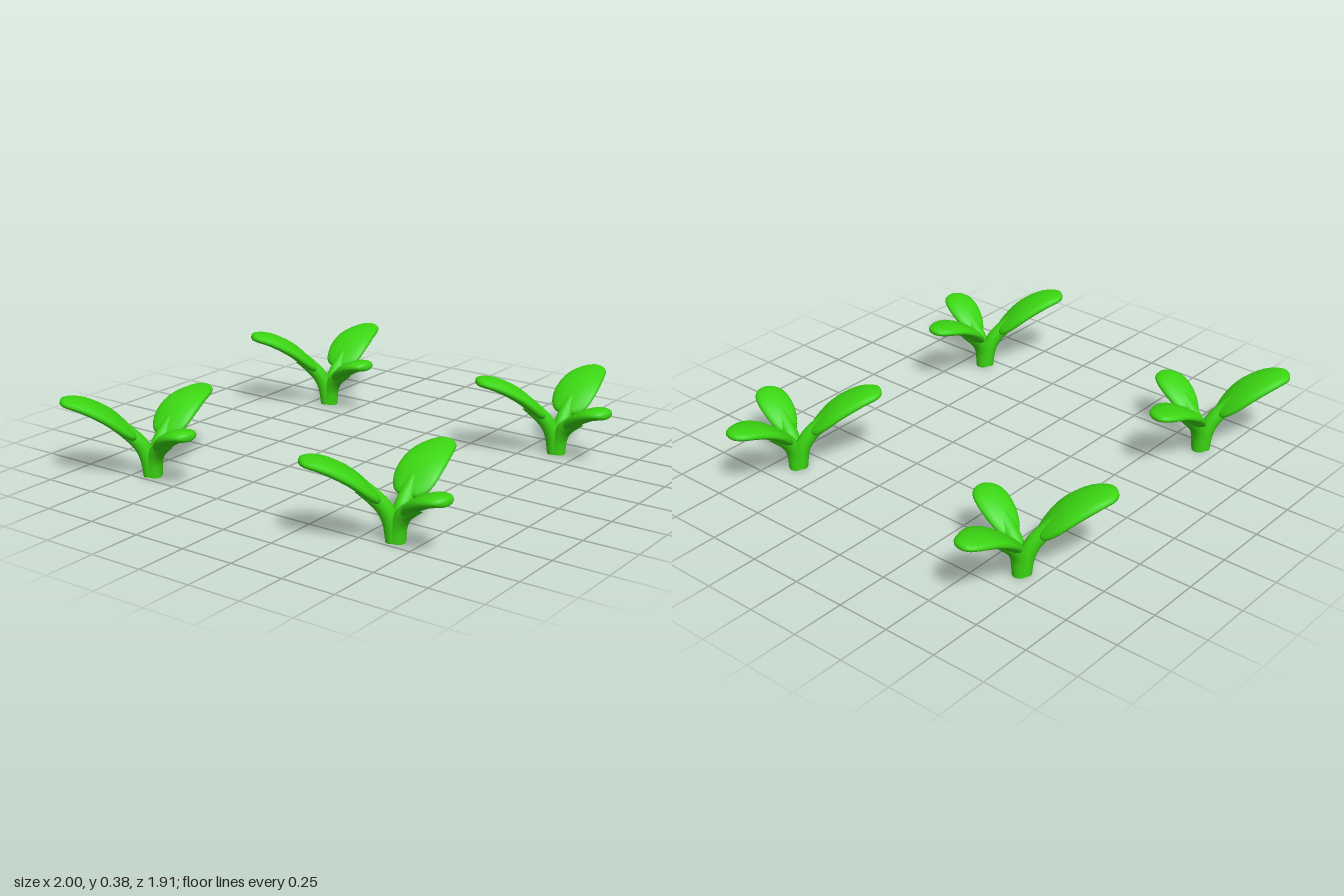
import * as THREE from 'three';

const SIDES = 16;

// Sweeps an oval section along a path in the x-y plane; t, half width and half height come from each ring's fraction.
function loft(points, rings, section) {
  const curve = new THREE.SplineCurve(points.map(([x, y]) => new THREE.Vector2(x, y)));
  const pos = [], index = [];
  for (let i = 0; i <= rings; i++) {
    const [t, halfW, halfH] = section(i / rings);
    const c = curve.getPoint(t);
    const d = curve.getTangent(t);
    for (let j = 0; j < SIDES; j++) {
      const a = (j / SIDES) * Math.PI * 2;
      const n = Math.cos(a) * halfH;
      pos.push(c.x - d.y * n, c.y + d.x * n, Math.sin(a) * halfW);
      if (i === rings) continue;
      const p = i * SIDES + j, q = i * SIDES + (j + 1) % SIDES;
      index.push(p, q, p + SIDES, q, q + SIDES, p + SIDES);
    }
  }
  const geo = new THREE.BufferGeometry();
  geo.setAttribute('position', new THREE.Float32BufferAttribute(pos, 3));
  geo.setIndex(index);
  geo.computeVertexNormals();
  return geo;
}

// Round stem, slightly thicker at its foot
const stemSection = (u) => {
  const r = 0.033 + 0.004 * (1 - u);
  return [u, r, r];
};

// Plump oval blade, closed at both ends
const bladeSection = (width, thickness) => (u) => {
  const s = u === 0 || u === 1 ? 0 : Math.sin(u * Math.PI);
  return [(1 - Math.cos(u * Math.PI)) / 2, width * s ** 0.95, thickness * s ** 0.6];
};

// Each leaf: heading about y, stem and blade paths (outward, up), blade half width
const LEAVES = [
  { name: 'sideLeaf', angle: 0, width: 0.105,
    stem: [[0.007, 0], [0.018, 0.08], [0.05, 0.14], [0.1, 0.19], [0.15, 0.235]],
    blade: [[0.07, 0.165], [0.11, 0.202], [0.17, 0.255], [0.26, 0.298], [0.38, 0.319]] },
  { name: 'backLeaf', angle: 136, width: 0.105,
    stem: [[0.007, 0], [0.02, 0.08], [0.05, 0.145], [0.1, 0.2], [0.15, 0.245]],
    blade: [[0.07, 0.175], [0.13, 0.232], [0.2, 0.29], [0.3, 0.342], [0.39, 0.362]] },
  { name: 'frontLeaf', angle: -106.6, width: 0.078,
    stem: [[0.007, 0], [0.018, 0.07], [0.05, 0.125], [0.1, 0.165], [0.15, 0.2]],
    blade: [[0.065, 0.135], [0.13, 0.19], [0.2, 0.23], [0.26, 0.25], [0.31, 0.253]] },
];

export function createModel() {
  const model = new THREE.Group();
  model.name = 'sprouts';
  const green = new THREE.MeshStandardMaterial({ color: 0x3bd612 });
  green.name = 'leaf green';

  // Three-leaved sprout
  const sprout = new THREE.Group();
  sprout.name = 'sprout';
  for (const { name, angle, width, stem, blade } of LEAVES) {
    const leaf = new THREE.Group();
    leaf.name = name;
    const stemMesh = new THREE.Mesh(loft(stem, 14, stemSection), green);
    stemMesh.name = 'stem';
    const bladeMesh = new THREE.Mesh(loft(blade, 18, bladeSection(width, 0.03)), green);
    bladeMesh.name = 'blade';
    leaf.add(stemMesh, bladeMesh);
    leaf.rotation.y = THREE.MathUtils.degToRad(angle);
    sprout.add(leaf);
  }

  // Flat underside closing the foot of the stems
  const foot = new THREE.Mesh(new THREE.CircleGeometry(0.042, 24), green);
  foot.name = 'foot';
  foot.rotation.x = Math.PI / 2;
  sprout.add(foot);

  // Four sprouts on a square
  for (const x of [-0.695, 0.615]) {
    for (const z of [-0.665, 0.645]) {
      const copy = sprout.clone();
      copy.position.set(x, 0, z);
      model.add(copy);
    }
  }
  return model;
}
